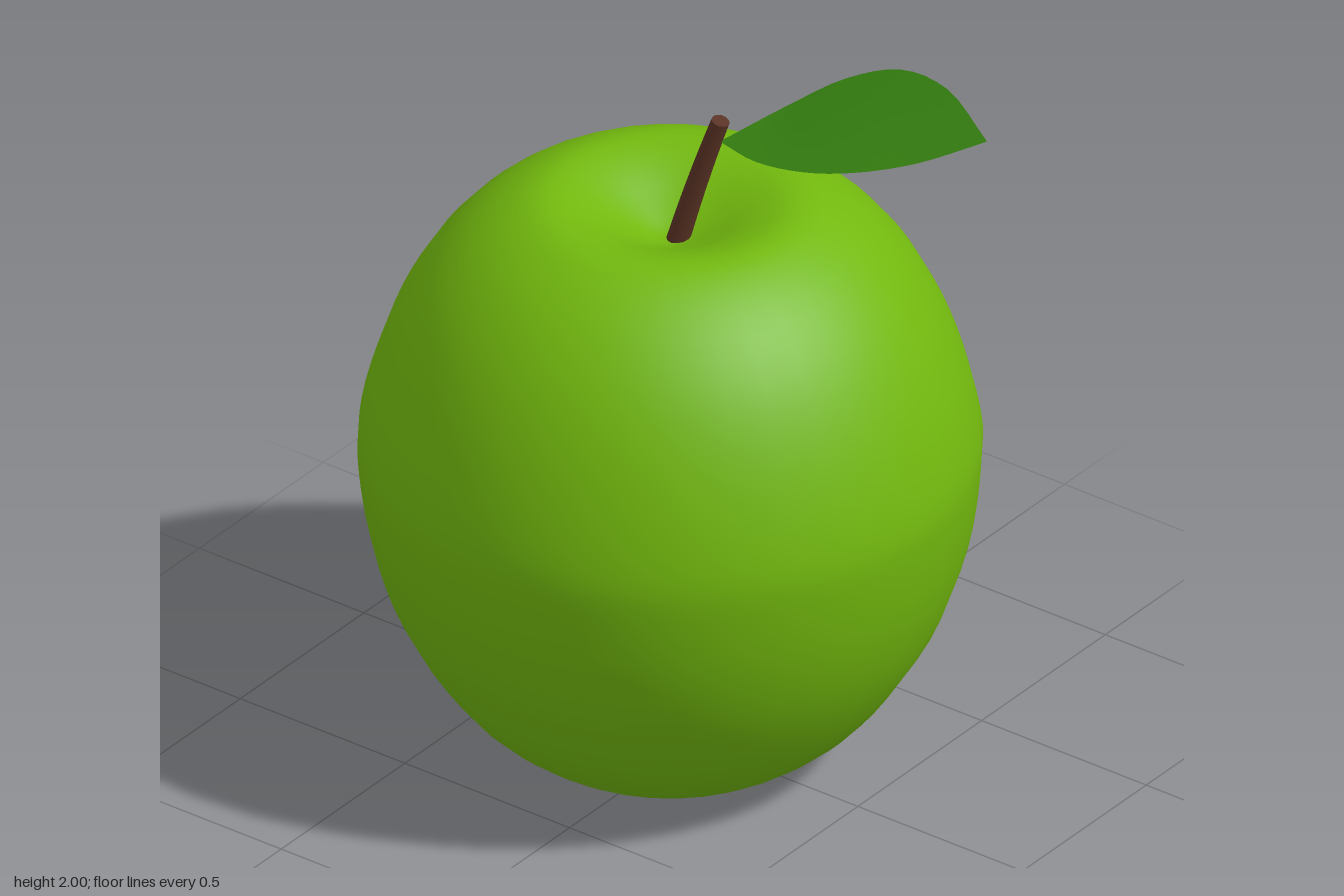
import * as THREE from 'three';

const skinGreen = new THREE.MeshStandardMaterial({ name: 'skinGreen', color: 0x72b80e });
const stemBrown = new THREE.MeshStandardMaterial({ name: 'stemBrown', color: 0x5a3324 });
const leafGreen = new THREE.MeshStandardMaterial({ name: 'leafGreen', color: 0x3a8a12, side: THREE.DoubleSide });

// Fruit: one lathed profile, with a dimple at each end
function makeFruit() {
  const profile = new THREE.SplineCurve([
    [0, 0.09], [0.06, 0.08], [0.14, 0.035], [0.23, 0.003], [0.33, 0.02], [0.45, 0.1],
    [0.55, 0.205], [0.66, 0.385], [0.728, 0.58], [0.758, 0.78], [0.755, 0.9], [0.715, 1.06],
    [0.655, 1.21], [0.575, 1.34], [0.465, 1.45], [0.33, 1.518], [0.22, 1.5], [0.12, 1.452],
    [0.04, 1.415], [0, 1.41],
  ].map(([r, y]) => new THREE.Vector2(r, y)));
  const fruit = new THREE.Mesh(new THREE.LatheGeometry(profile.getPoints(57), 36), skinGreen);
  fruit.name = 'fruit';
  fruit.position.x = -0.07;
  return fruit;
}

// Stem: a tapered cylinder, leaned and gently bent
function makeStem() {
  const bottom = 1.37, height = 0.4;
  const geometry = new THREE.CylinderGeometry(0.022, 0.03, height, 12, 8);
  const pos = geometry.attributes.position;
  for (let i = 0; i < pos.count; i++) {
    const x = pos.getX(i), u = pos.getY(i) / height + 0.5;
    pos.setXYZ(i,
      x - 0.065 + 0.1 * u + 0.018 * u * u,
      bottom + u * height - x * 0.25 * u,
      pos.getZ(i) - 0.01 - 0.03 * u);
  }
  geometry.computeVertexNormals();
  const stem = new THREE.Mesh(geometry, stemBrown);
  stem.name = 'stem';
  return stem;
}

// Leaf: a thin blade spanned between its two curved edges
function makeLeaf() {
  const edge = (points) => new THREE.CatmullRomCurve3(points.map((p) => new THREE.Vector3(...p)));
  const base = [0.05, 1.71, -0.04], tip = [0.825, 1.97, -0.09];
  const front = edge([base, [0.2, 1.732, 0.012], [0.36, 1.77, 0.03], [0.5, 1.815, 0.02], [0.66, 1.88, -0.02], tip]);
  const back = edge([base, [0.18, 1.81, -0.145], [0.31, 1.905, -0.203], [0.46, 1.975, -0.225], [0.63, 2.0, -0.188], tip]);
  const geometry = new THREE.PlaneGeometry(0.996, 1, 20, 4); // stops just short of both points
  const pos = geometry.attributes.position;
  for (let i = 0; i < pos.count; i++) {
    const t = pos.getX(i) + 0.5, s = pos.getY(i) + 0.5;
    const p = front.getPoint(t).lerp(back.getPoint(t), s);
    pos.setXYZ(i, p.x, p.y, p.z);
  }
  geometry.computeVertexNormals();
  const leaf = new THREE.Mesh(geometry, leafGreen);
  leaf.name = 'leaf';
  return leaf;
}

export function createModel() {
  const apple = new THREE.Group();
  apple.name = 'apple';
  apple.add(makeFruit(), makeStem(), makeLeaf());
  return apple;
}
